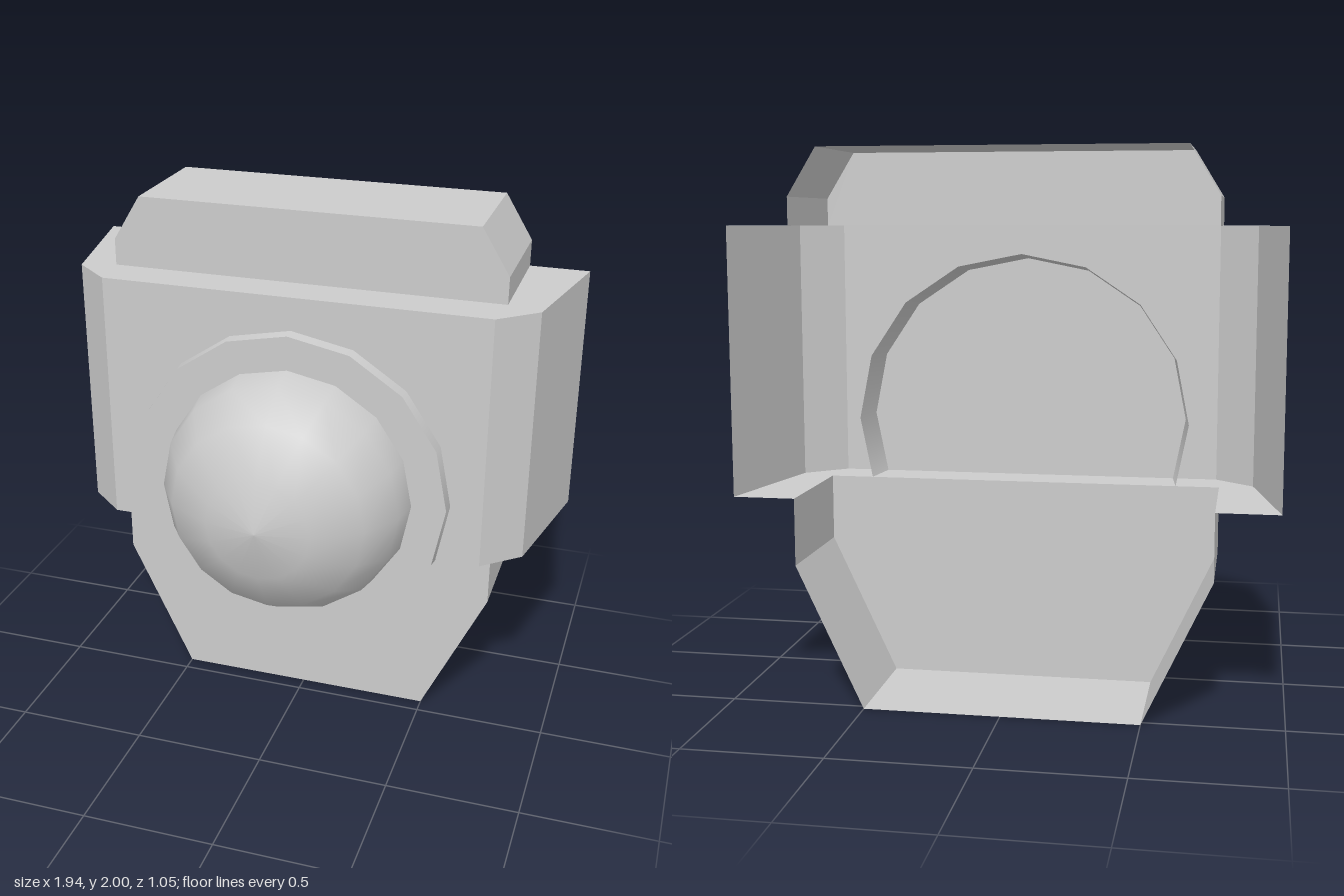
import * as THREE from 'three';

const FLAT = new THREE.MeshStandardMaterial({ color: 0xcccccc, flatShading: true, side: THREE.DoubleSide });
const SMOOTH = new THREE.MeshStandardMaterial({ color: 0xcccccc, side: THREE.DoubleSide });

const BACK = -0.525;     // open rear edge of the shell
const PLATE = -0.06;     // front of the narrow body
const FACE = 0.1;        // front of the wide housing
const LOW = 0.765, HIGH = 1.73; // bottom and top of the wide housing
const CENTRE = 0.995;    // height of the dome axis
const SIDES = 16;

// Thin wall following a counter-clockwise open outline, swept from z0 to z1
function wall(points, z0, z1) {
  const pos = [];
  for (let i = 0; i < points.length - 1; i++) {
    const [ax, ay] = points[i], [bx, by] = points[i + 1];
    pos.push(ax, ay, z0, bx, by, z0, bx, by, z1);
    pos.push(ax, ay, z0, bx, by, z1, ax, ay, z1);
  }
  const g = new THREE.BufferGeometry();
  g.setAttribute('position', new THREE.Float32BufferAttribute(pos, 3));
  g.computeVertexNormals();
  return g;
}

// Flat sheet filling an outline at depth z
function sheet(points, z) {
  const shape = new THREE.Shape(points.map(([x, y]) => new THREE.Vector2(x, y)));
  return new THREE.ShapeGeometry(shape).translate(0, 0, z);
}

function add(parent, name, geometry, material = FLAT) {
  const mesh = new THREE.Mesh(geometry, material);
  mesh.name = name;
  parent.add(mesh);
  return mesh;
}

// Complete a right-hand half outline with its mirror image
const mirrored = half => [...half, ...half.slice().reverse().map(([x, y]) => [-x, y])];

export function createModel() {
  const model = new THREE.Group();
  model.name = 'domedHousing';

  // Narrow body: tapered lower tray and chamfered upper tray, open at the back
  const lower = mirrored([[-0.745, LOW], [-0.745, 0.52], [-0.5, 0]]);
  const upper = mirrored([[0.745, HIGH], [0.745, 1.83], [0.64, 2]]);
  for (const [name, outline] of [['lowerBody', lower], ['upperBody', upper]]) {
    const tray = new THREE.Group();
    tray.name = name;
    add(tray, name + 'Walls', wall(outline, BACK, PLATE));
    add(tray, name + 'Front', sheet(outline, PLATE));
    model.add(tray);
  }

  // Wide housing: outline drawn in plan (x, -z), then stood upright
  const plan = mirrored([[-0.97, -BACK], [-0.87, 0.02], [-0.73, -FACE]]);
  const notch = mirrored([[0.745, -BACK], [0.745, -PLATE]]);
  const housing = new THREE.Group();
  housing.name = 'wideHousing';
  add(housing, 'housingWalls', wall(plan, LOW, HIGH));
  add(housing, 'housingTop', sheet([...plan, ...notch], HIGH));
  add(housing, 'housingBottom', sheet([...plan, ...notch], LOW));
  housing.rotation.x = -Math.PI / 2;
  model.add(housing);

  // Slightly conical round mount
  const mountFront = 0.145;
  const depth = mountFront - PLATE;
  const rim = new THREE.CylinderGeometry(0.605, 0.63, depth, SIDES, 1, true);
  rim.rotateX(Math.PI / 2).translate(0, CENTRE, PLATE + depth / 2);
  add(model, 'mountRim', rim, SMOOTH);
  add(model, 'mountFace', new THREE.CircleGeometry(0.605, SIDES).translate(0, CENTRE, mountFront));

  // Smooth flattened dome
  const profile = [[0.475, 0], [0.455, 0.105], [0.365, 0.245], [0.195, 0.345], [0, 0.38]];
  const dome = new THREE.LatheGeometry(profile.map(([r, h]) => new THREE.Vector2(r, h)), SIDES);
  dome.rotateX(Math.PI / 2).translate(0, CENTRE, mountFront);
  add(model, 'dome', dome, SMOOTH);

  return model;
}
